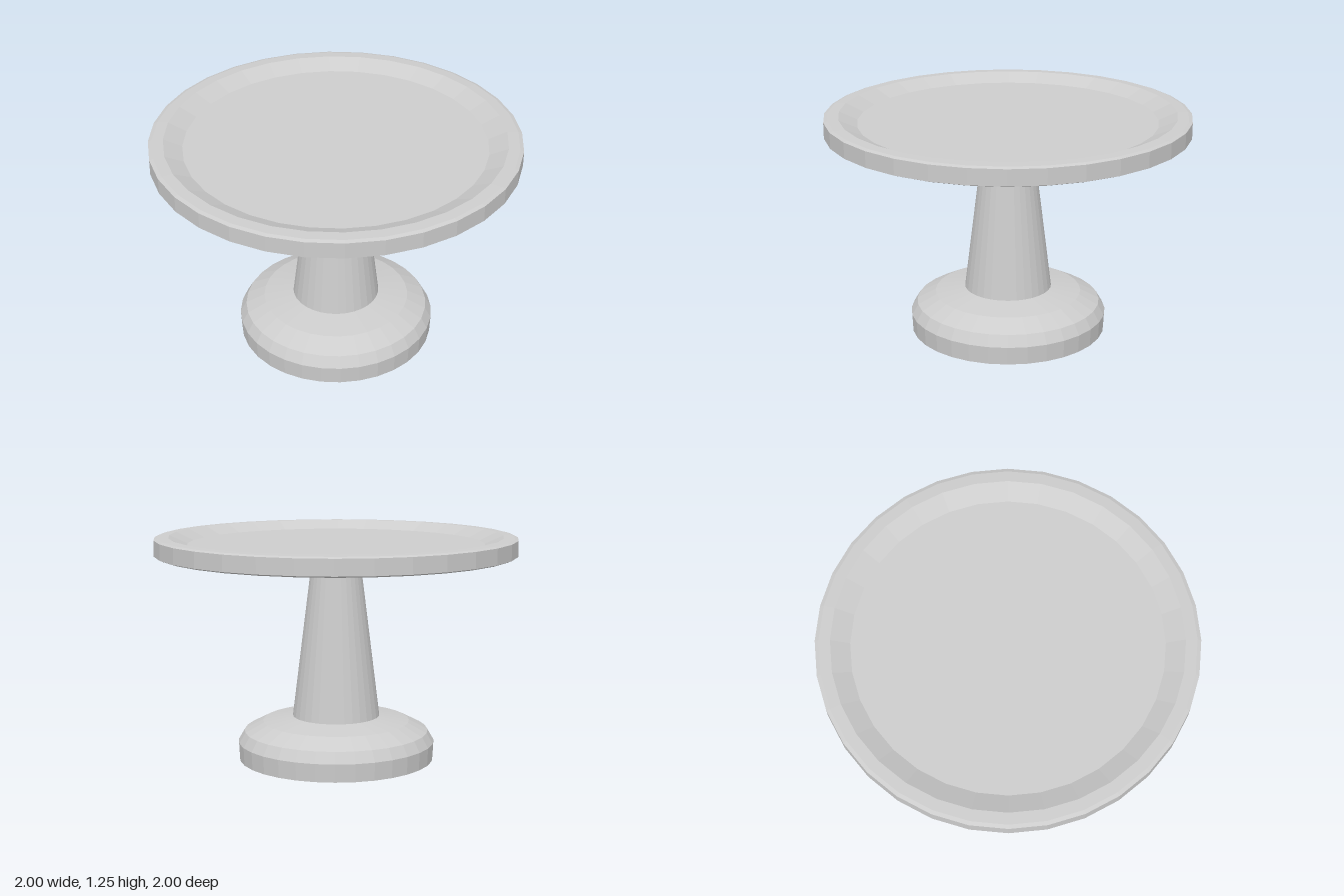
import * as THREE from 'three';

const SIDES = 32;

export function createModel() {
  const model = new THREE.Group();
  model.name = 'cakeStand';
  const grey = new THREE.MeshStandardMaterial({ color: 0xcccccc, flatShading: true });
  grey.name = 'light grey';

  // Turns a profile of [radius, height] points, listed from bottom to top
  function turned(name, profile) {
    const points = profile.map(([r, y]) => new THREE.Vector2(r, y));
    const mesh = new THREE.Mesh(new THREE.LatheGeometry(points, SIDES), grey);
    mesh.name = name;
    model.add(mesh);
  }

  // Rounded foot, closed underneath
  turned('foot', [[0, 0], [0.545, 0], [0.55, 0.1], [0.515, 0.16], [0.41, 0.215], [0.243, 0.243]]);

  // Tapered stem
  turned('stem', [[0.243, 0.243], [0.13, 1.15]]);

  // Round plate with a sunken floor and sloping inner rim
  turned('plate', [
    [0, 1.15], [0.98, 1.15], [1, 1.158], [1, 1.245],
    [0.98, 1.252], [0.92, 1.255], [0.82, 1.21], [0, 1.21],
  ]);

  return model;
}
